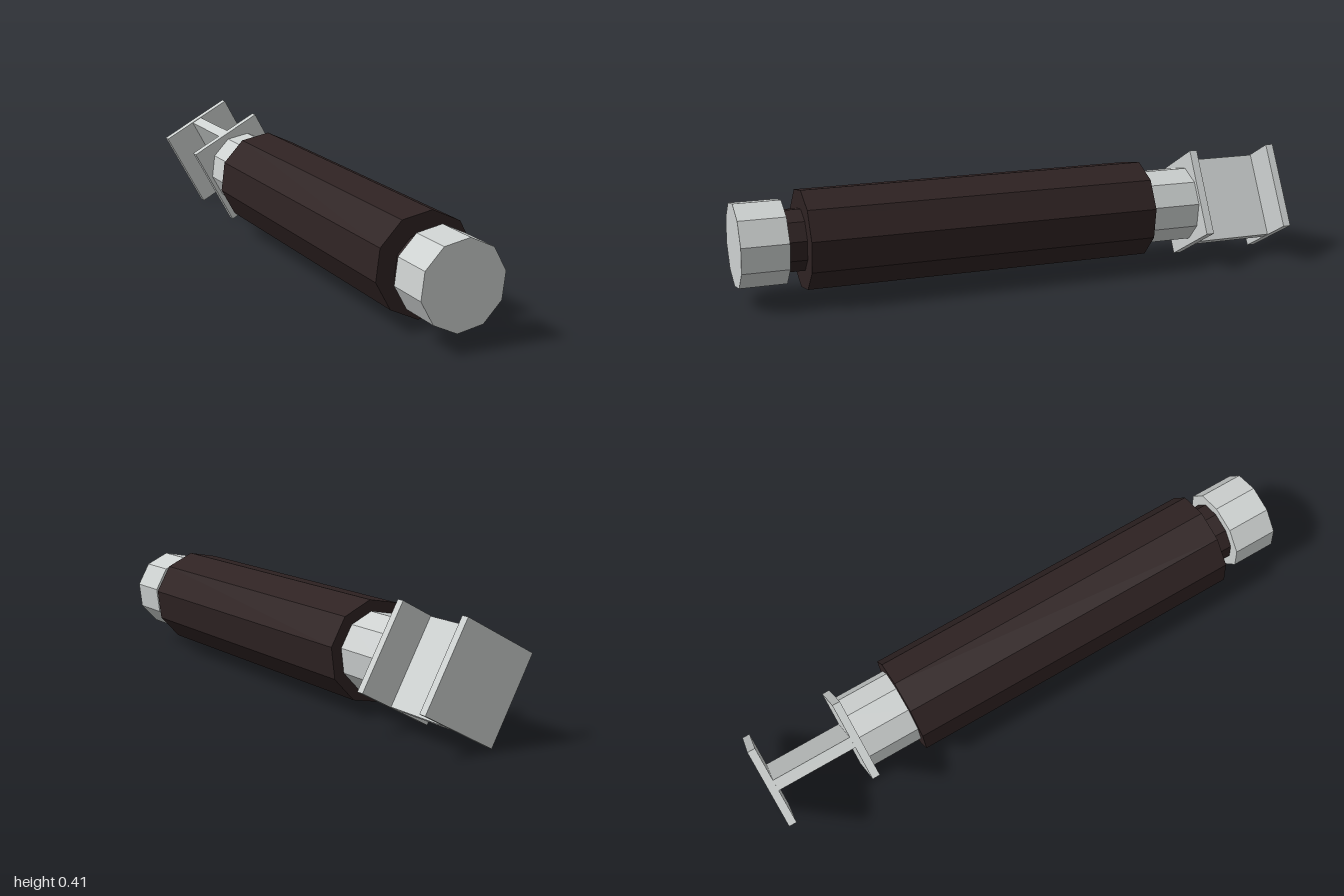
import * as THREE from 'three';

const AXIS_Y = 0.208;                              // height of the long axis
const BARREL_TURN = THREE.MathUtils.degToRad(-7.3);
const BRACKET_TURN = THREE.MathUtils.degToRad(28.5);

export function createModel() {
  const metal = new THREE.MeshStandardMaterial({ color: 0xcdd1d0, flatShading: true });
  metal.name = 'lightMetal';
  const grip = new THREE.MeshStandardMaterial({ color: 0x2e2222, flatShading: true });
  grip.name = 'darkGrip';

  const model = new THREE.Group();
  model.name = 'handle';

  // ten-sided section along z
  const section = (name, radius, back, front, material) => {
    const geometry = new THREE.CylinderGeometry(radius, radius, front - back, 10);
    geometry.rotateX(Math.PI / 2).rotateZ(BARREL_TURN);
    const mesh = new THREE.Mesh(geometry, material);
    mesh.name = name;
    mesh.position.set(0, AXIS_Y, (front + back) / 2);
    model.add(mesh);
  };
  section('frontCap', 0.147, 0.84, 1, metal);
  section('frontNeck', 0.109, 0.775, 0.84, grip);
  section('gripSleeve', 0.175, -0.465, 0.775, grip);
  section('rearCollar', 0.136, -0.655, -0.465, metal);

  // tilted end bracket: two plates joined by a web
  const bracket = new THREE.Group();
  bracket.name = 'endBracket';
  bracket.position.y = AXIS_Y;
  bracket.rotation.z = BRACKET_TURN;
  const slab = (name, width, height, back, front) => {
    const mesh = new THREE.Mesh(new THREE.BoxGeometry(width, height, front - back), metal);
    mesh.name = name;
    mesh.position.z = (front + back) / 2;
    bracket.add(mesh);
  };
  slab('innerPlate', 0.287, 0.315, -0.683, -0.655);
  slab('web', 0.04, 0.312, -0.972, -0.683);
  slab('outerPlate', 0.287, 0.315, -1, -0.972);
  model.add(bracket);

  return model;
}
